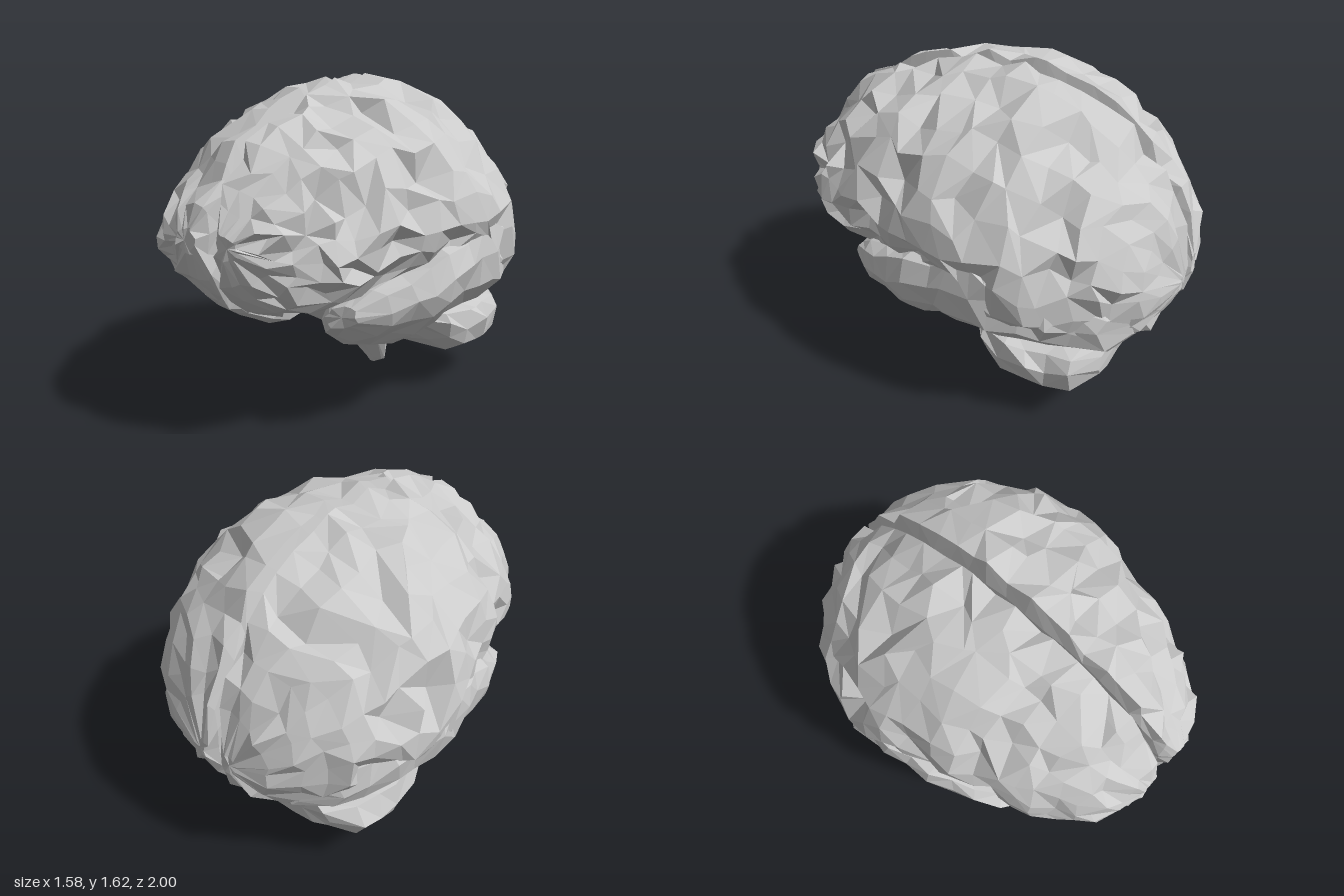
import * as THREE from 'three';

const material = new THREE.MeshStandardMaterial({ color: 0xcccccc, flatShading: true });

// Small seeded random generator
function seeded(seed) {
  let s = seed;
  return () => {
    s = (s * 16807) % 2147483647;
    return s / 2147483647;
  };
}

// Linear lookup in rows sorted by their first value
function sample(rows, t) {
  let i = 0;
  while (i < rows.length - 2 && t > rows[i + 1][0]) i++;
  const a = rows[i], b = rows[i + 1];
  const k = THREE.MathUtils.clamp((t - a[0]) / (b[0] - a[0]), 0, 1);
  return a.map((v, n) => v + (b[n] - v) * k);
}

// Signed power, for rounded boxes (below 1) and flattened arcs (above 1)
const spow = (v, e) => Math.sign(v) * Math.pow(Math.abs(v), e);

// Closed skin over a list of rings; side -1 mirrors it in x
function loft(name, rings, side, rand) {
  const n = rings[0].length, pos = [], idx = [];
  for (const p of rings.flat()) pos.push(p.x * side, p.y, p.z);
  const tri = (a, b, c) => (side > 0 ? idx.push(a, b, c) : idx.push(a, c, b));
  for (let i = 0; i < rings.length - 1; i++) {
    for (let j = 0; j < n; j++) {
      const a = i * n + j, b = i * n + (j + 1) % n, c = b + n, d = a + n;
      if (rand() < 0.5) { tri(a, b, c); tri(a, c, d); }
      else { tri(a, b, d); tri(b, c, d); }
    }
  }
  [0, rings.length - 1].forEach((r, end) => {
    const mid = rings[r].reduce((s, p) => s.add(p), new THREE.Vector3()).divideScalar(n);
    const m = pos.length / 3;
    pos.push(mid.x * side, mid.y, mid.z);
    for (let j = 0; j < n; j++) {
      const a = r * n + j, b = r * n + (j + 1) % n;
      if (end) tri(m, a, b); else tri(m, b, a);
    }
  });
  const g = new THREE.BufferGeometry();
  g.setAttribute('position', new THREE.Float32BufferAttribute(pos, 3));
  g.setIndex(idx);
  const flat = g.toNonIndexed();
  flat.computeVertexNormals();
  const mesh = new THREE.Mesh(flat, material);
  mesh.name = name;
  return mesh;
}

// Fold rule: most points stay near the surface, a few sink into grooves
function fold(p, cx, cy, depth, slide, rand) {
  const k = 1.02 - depth * Math.pow(rand(), 2.5);
  p.x = cx + (p.x - cx) * k;
  p.y = cy + (p.y - cy) * k;
  p.z += (rand() - 0.5) * slide;
  return p;
}

// Hemisphere sections: z, inner wall x, width, top, bottom, height of widest point
const HEMISPHERE = [
  [-0.99, 0.06, 0.13, 0.76, 0.65, 0.70],
  [-0.95, 0.03, 0.27, 0.96, 0.55, 0.73],
  [-0.88, 0.015, 0.41, 1.11, 0.45, 0.77],
  [-0.75, 0.012, 0.57, 1.31, 0.43, 0.81],
  [-0.60, 0.012, 0.67, 1.44, 0.44, 0.84],
  [-0.40, 0.012, 0.76, 1.54, 0.45, 0.86],
  [-0.22, 0.012, 0.78, 1.60, 0.47, 0.90],
  [-0.10, 0.012, 0.76, 1.61, 0.56, 0.99],
  [0.05, 0.012, 0.74, 1.61, 0.58, 1.00],
  [0.20, 0.012, 0.70, 1.59, 0.58, 0.99],
  [0.40, 0.012, 0.63, 1.55, 0.58, 0.96],
  [0.60, 0.012, 0.58, 1.47, 0.58, 0.92],
  [0.75, 0.012, 0.51, 1.35, 0.59, 0.90],
  [0.88, 0.015, 0.39, 1.21, 0.70, 0.92],
  [0.95, 0.04, 0.28, 1.12, 0.79, 0.94],
  [0.99, 0.08, 0.18, 1.03, 0.91, 0.97],
];

function hemisphere(side, rand) {
  const rings = [], count = 22, arc = 15, wall = 4;
  for (let i = 0; i <= count; i++) {
    const u = -Math.cos(Math.PI * i / count);
    const z = 0.99 * (0.45 * u + 0.55 * (2 * i / count - 1));
    const [, gap, w, top, bottom, mid] = sample(HEMISPHERE, z);
    const slide = i === 0 || i === count ? 0.02 : 0.07;
    const underside = z < -0.15 ? 0.75 : 1;
    const ring = [];
    // Folded outer surface, from the underside up to the crown
    for (let j = 0; j < arc; j++) {
      const t = (j + (j % (arc - 1) ? (rand() - 0.5) * 0.5 : 0)) / (arc - 1);
      const a = Math.PI * (t - 0.5) * 0.97;
      const e = a < 0 ? underside : 1.11;
      const h = a < 0 ? mid - bottom : top - mid;
      const p = new THREE.Vector3(
        gap + (w - gap) * spow(Math.cos(a), e), mid + h * spow(Math.sin(a), e), z);
      ring.push(fold(p, gap, mid, 0.14, slide, rand));
    }
    // Flat wall along the central cleft
    for (let j = 0; j < wall; j++) {
      const y = THREE.MathUtils.lerp(top, bottom, (j + 0.5) / wall);
      ring.push(new THREE.Vector3(gap * (0.5 + rand() * 0.7), y, z));
    }
    rings.push(ring);
  }
  return loft('hemisphere', rings, side, rand);
}

// Lobe from rows of: z, centre x, centre y, half width, half height, tilt
function lobe(name, rows, { count, sides, depth, power }, side, rand) {
  const rings = [], z0 = rows[0][0], z1 = rows[rows.length - 1][0];
  for (let i = 0; i <= count; i++) {
    const z = THREE.MathUtils.lerp(z0, z1, i / count);
    const [, cx, cy, rx, ry, tilt] = sample(rows, z);
    const slide = i === 0 || i === count ? 0.03 : 0.05;
    const ring = [];
    for (let j = 0; j < sides; j++) {
      const a = 2 * Math.PI * (j + (rand() - 0.5) * 0.4) / sides;
      const x = rx * spow(Math.cos(a), power);
      const p = new THREE.Vector3(cx + x, cy + ry * spow(Math.sin(a), power) + tilt * x, z);
      ring.push(fold(p, cx, cy, depth, slide, rand));
    }
    rings.push(ring);
  }
  return loft(name, rings, side, rand);
}

const TEMPORAL = [
  [-0.86, 0.28, 0.60, 0.12, 0.10, 0],
  [-0.75, 0.33, 0.61, 0.22, 0.17, 0],
  [-0.55, 0.43, 0.67, 0.26, 0.22, 0.1],
  [-0.30, 0.49, 0.71, 0.30, 0.25, 0.25],
  [-0.05, 0.48, 0.68, 0.31, 0.25, 0.4],
  [0.15, 0.45, 0.62, 0.30, 0.23, 0.45],
  [0.28, 0.42, 0.58, 0.28, 0.20, 0.4],
  [0.42, 0.41, 0.59, 0.23, 0.15, 0.35],
  [0.52, 0.41, 0.60, 0.18, 0.11, 0.25],
  [0.58, 0.41, 0.61, 0.09, 0.05, 0.2],
];
const TEMPORAL_STYLE = { count: 13, sides: 12, depth: 0.18, power: 0.88 };

const CEREBELLUM = [
  [-0.75, 0.30, 0.36, 0.18, 0.08, 0.05],
  [-0.69, 0.31, 0.32, 0.27, 0.13, 0.08],
  [-0.50, 0.34, 0.31, 0.28, 0.14, 0.1],
  [-0.30, 0.35, 0.31, 0.29, 0.14, 0.12],
  [-0.18, 0.33, 0.35, 0.25, 0.10, 0.1],
  [-0.06, 0.28, 0.42, 0.12, 0.04, 0],
];
const CEREBELLUM_STYLE = { count: 6, sides: 10, depth: 0.16, power: 0.7 };

// Brainstem rows: y, centre x, half width, front z, back z
const STEM = [
  [0.00, -0.02, 0.015, -0.31, -0.325],
  [0.04, 0.01, 0.06, -0.28, -0.32],
  [0.20, 0, 0.125, -0.16, -0.29],
  [0.34, -0.02, 0.185, -0.06, -0.28],
  [0.44, -0.02, 0.19, 0.01, -0.30],
  [0.58, -0.02, 0.14, 0.10, -0.30],
  [0.66, 0, 0.08, 0.10, -0.25],
];

function brainstem(rand) {
  const rings = STEM.map(([y, cx, rx, front, back]) => {
    const ring = [];
    for (let j = 0; j < 8; j++) {
      const a = 2 * Math.PI * j / 8;
      ring.push(new THREE.Vector3(
        cx + rx * spow(Math.cos(a), 0.5), y,
        (front + back) / 2 - (front - back) / 2 * spow(Math.sin(a), 0.5)));
    }
    return ring;
  });
  return loft('brainstem', rings, 1, rand);
}

export function createModel() {
  const model = new THREE.Group();
  model.name = 'brain';
  for (const side of [1, -1]) {
    const rand = seeded(side > 0 ? 4127 : 90173);
    const half = new THREE.Group();
    half.name = side > 0 ? 'leftHalf' : 'rightHalf';
    half.add(
      hemisphere(side, rand),
      lobe('temporalLobe', TEMPORAL, TEMPORAL_STYLE, side, rand),
      lobe('cerebellum', CEREBELLUM, CEREBELLUM_STYLE, side, rand),
    );
    model.add(half);
  }
  // Small bridge joining the two cerebellum halves
  const bridge = new THREE.Mesh(new THREE.IcosahedronGeometry(1, 1), material);
  bridge.name = 'cerebellumBridge';
  bridge.scale.set(0.14, 0.12, 0.2);
  bridge.position.set(0, 0.36, -0.45);
  model.add(bridge, brainstem(seeded(77)));
  return model;
}
